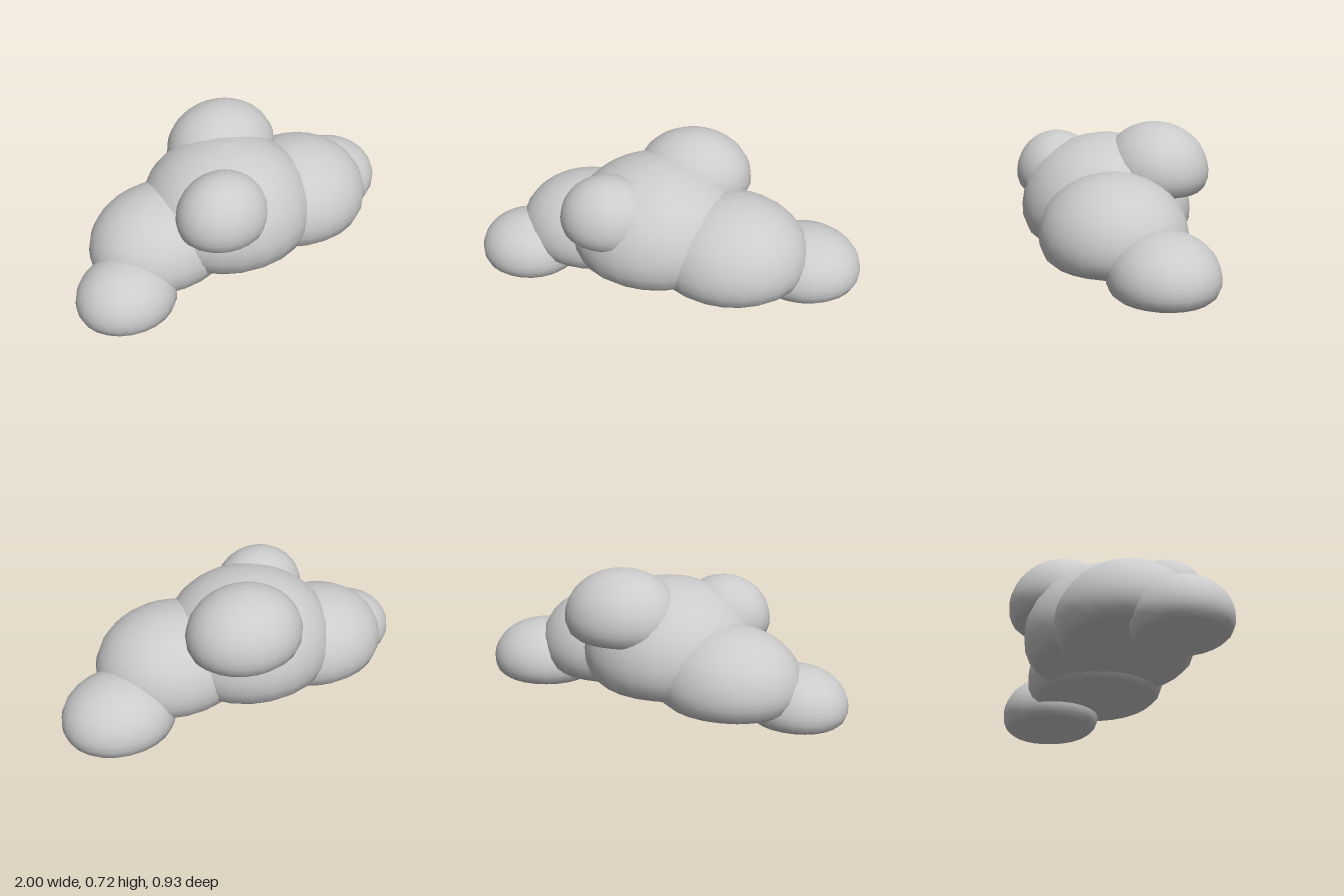
import * as THREE from 'three';

// Unit puff: a dome over a rounded rim and a flat base at y = -0.4
function puffGeometry() {
  const profile = [new THREE.Vector2(0, -0.4), new THREE.Vector2(0.45, -0.4),
    new THREE.Vector2(0.84, -0.4), new THREE.Vector2(0.935, -0.3)];
  const steps = 10;
  for (let i = 0; i <= steps; i++) {
    const a = -0.12 + (Math.PI / 2 + 0.12) * i / steps;
    profile.push(new THREE.Vector2(i === steps ? 0 : Math.cos(a), Math.sin(a)));
  }
  return new THREE.LatheGeometry(profile, 24);
}

export function createModel() {
  const model = new THREE.Group();
  model.name = 'cloud';
  const material = new THREE.MeshStandardMaterial({ color: 0xcccccc });
  const geometry = puffGeometry();

  // name, centre x, centre z, radius x, radius z, base y, top y
  const puffs = [
    ['centrePuff', -0.06, 0.005, 0.45, 0.435, 0.115, 0.645],
    ['leftPuff', 0.34, 0.107, 0.395, 0.36, 0.09, 0.52],
    ['rightPuff', -0.425, -0.09, 0.375, 0.33, 0.073, 0.47],
    ['leftEndPuff', 0.71, 0, 0.29, 0.262, 0.02, 0.322],
    ['rightEndPuff', -0.745, 0.03, 0.255, 0.232, 0, 0.28],
    ['frontTopPuff', -0.27, 0.205, 0.24, 0.212, 0.33, 0.637],
    ['backTopPuff', 0.1, -0.203, 0.3, 0.265, 0.375, 0.716],
  ];
  for (const [name, x, z, rx, rz, base, top] of puffs) {
    const ry = (top - base) / 1.4;
    const puff = new THREE.Mesh(geometry, material);
    puff.name = name;
    puff.position.set(x, base + 0.4 * ry, z);
    puff.scale.set(rx, ry, rz);
    model.add(puff);
  }
  return model;
}
